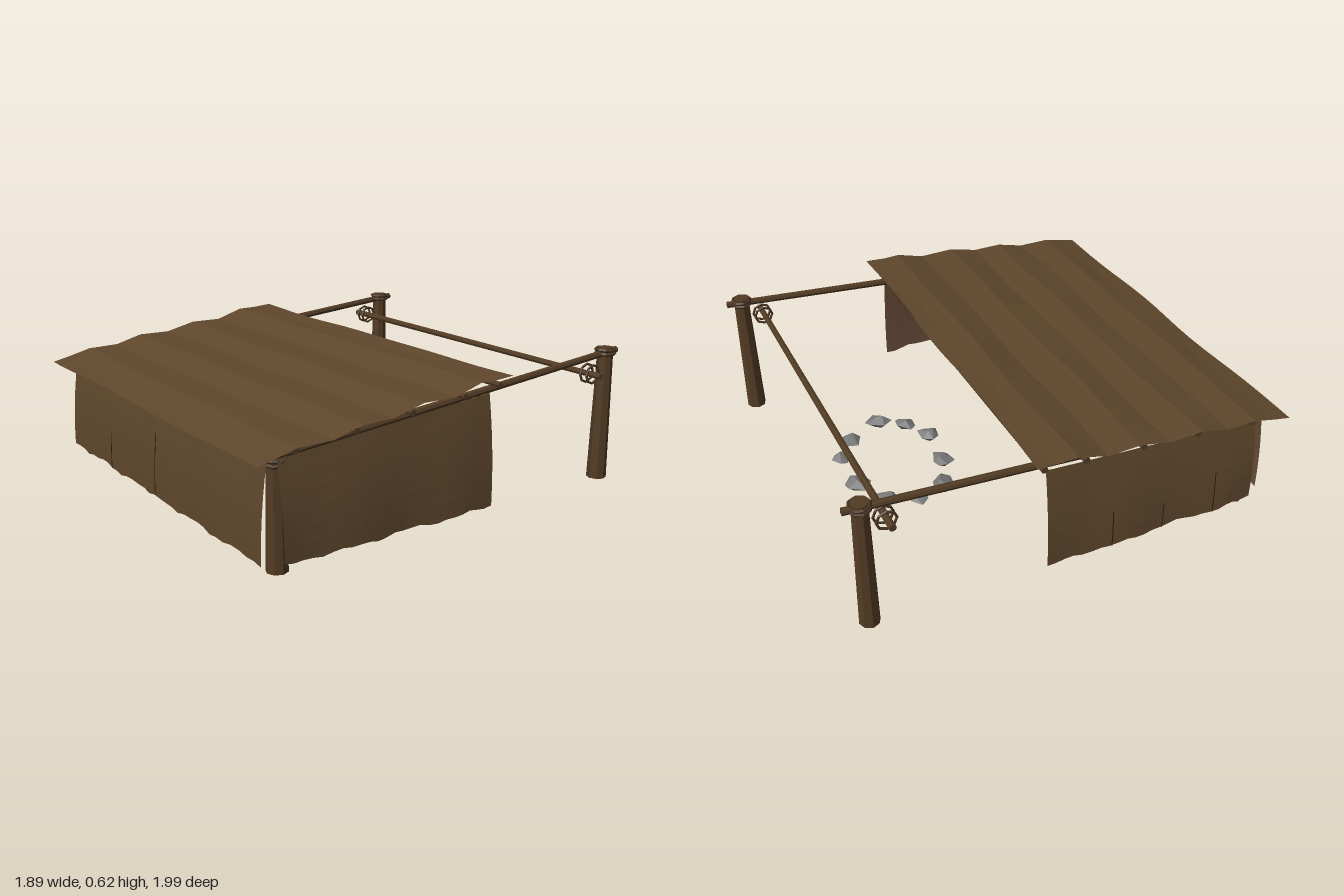
import * as THREE from 'three';
import { ConvexGeometry } from 'three/addons/geometries/ConvexGeometry.js';

const mat = (name, color) => {
  const m = new THREE.MeshStandardMaterial({ color });
  m.name = name;
  return m;
};

// small seeded generator
function seeded(seed) {
  let s = seed;
  return () => (s = (s * 16807) % 2147483647) / 2147483647;
}

// flat facets
function faceted(geo) {
  const g = geo.index ? geo.toNonIndexed() : geo;
  g.computeVertexNormals();
  return g;
}

// grid surface from point(u, v); front faces along dP/du x dP/dv
function gridGeometry(nu, nv, point, flip) {
  const pos = [], idx = [];
  for (let j = 0; j <= nv; j++)
    for (let i = 0; i <= nu; i++) pos.push(...point(i / nu, j / nv));
  for (let j = 0; j < nv; j++)
    for (let i = 0; i < nu; i++) {
      const a = j * (nu + 1) + i, b = a + 1, c = a + nu + 1, d = c + 1;
      if (flip) idx.push(a, d, b, a, c, d);
      else idx.push(a, b, d, a, d, c);
    }
  const g = new THREE.BufferGeometry();
  g.setAttribute('position', new THREE.Float32BufferAttribute(pos, 3));
  g.setIndex(idx);
  return faceted(g);
}

export function createModel() {
  const model = new THREE.Group();
  const wood = mat('dark wood', 0x523b24);
  const hide = mat('hide outside', 0x5f472c);
  const lining = mat('hide inside', 0x6b4f3a);
  const rope = mat('rope', 0x4a3522);
  const stone = mat('grey stone', 0x7b7b7b);
  const slitMat = mat('slit shadow', 0x2a1d12);

  const add = (name, geo, material, parent = model) => {
    const m = new THREE.Mesh(geo, material);
    m.name = name;
    parent.add(m);
    return m;
  };

  // straight tapered pole between two points
  const pole = (name, a, b, r0, r1, sides = 8) => {
    const p = new THREE.Vector3(...a), q = new THREE.Vector3(...b);
    const dir = q.clone().sub(p);
    const m = add(name, faceted(new THREE.CylinderGeometry(r1, r0, dir.length(), sides, 3)), wood);
    m.position.copy(p).add(q).multiplyScalar(0.5);
    m.quaternion.setFromUnitVectors(new THREE.Vector3(0, 1, 0), dir.normalize());
    return m;
  };

  // hide sheet: outer skin and inner skin, offset by a thin thickness
  const sheet = (name, nu, nv, point, offset, flip) => {
    const g = new THREE.Group();
    g.name = name;
    model.add(g);
    add(name + 'Outside', gridGeometry(nu, nv, point, flip), hide, g);
    const inner = (u, v) => point(u, v).map((c, k) => c + offset[k]);
    add(name + 'Inside', gridGeometry(nu, nv, inner, !flip), lining, g);
  };

  // lashing ring
  const ring = (name, r, tube, x, y, z, axis) => {
    const m = add(name, faceted(new THREE.TorusGeometry(r, tube, 5, 8)), rope);
    m.position.set(x, y, z);
    if (axis === 'y') m.rotation.x = Math.PI / 2;
    if (axis === 'x') m.rotation.y = Math.PI / 2;
  };

  // posts, rafters and lashings on both sides
  for (const s of [-1, 1]) {
    pole('frontPost', [s * 0.84, 0, 0.84], [s * 0.84, 0.445, 0.84], 0.045, 0.037);
    pole('backPost', [s * 0.835, 0, -0.93], [s * 0.835, 0.62, -0.93], 0.045, 0.035);
    pole('rafter', [s * 0.835, 0.445, 0.915], [s * 0.835, 0.6, -1], 0.018, 0.016);
    for (const dy of [0, 0.018]) {
      ring('frontLashing', 0.042, 0.008, s * 0.84, 0.425 + dy, 0.84, 'y');
      ring('backLashing', 0.042, 0.008, s * 0.835, 0.592 + dy, -0.93, 'y');
    }
    for (const dx of [-0.018, 0.018])
      ring('crossbarLashing', 0.042, 0.006, s * 0.835 + dx, 0.51, -0.835, 'x');
  }

  // back crossbar and roof purlins
  pole('backCrossbar', [-0.905, 0.51, -0.83], [0.905, 0.51, -0.83], 0.016, 0.014);
  const purlins = [[0.8, 0.488], [0.53, 0.512], [0.26, 0.535], [-0.01, 0.557], [-0.2, 0.574]];
  for (const [z, y] of purlins)
    pole('purlin', [-0.92, y, z], [0.92, y, z], 0.015, 0.013);

  // roof hide sagging between purlins: [z, y]
  const roof = [[0.987, 0.467], [0.9, 0.485], [0.81, 0.508], [0.66, 0.508], [0.52, 0.541],
    [0.37, 0.539], [0.23, 0.574], [0.07, 0.572], [-0.07, 0.611], [-0.15, 0.609], [-0.24, 0.614]];
  sheet('roof', 18, roof.length - 1, (u, v) => {
    const i = Math.round(v * (roof.length - 1)), x = -0.945 + 1.89 * u;
    return [x, roof[i][1] + 0.002 * Math.sin(x * 9 + i), roof[i][0] + 0.007 * Math.sin(x * 6 + i * 1.7)];
  }, [0, -0.007, 0], false);

  // hanging hides: v runs from the ragged hem (0) to the top (1)
  const hem = (t) => 0.055 + 0.005 * Math.sin(t * 21) + 0.004 * Math.sin(t * 47 + 1);
  const frontPoint = (u, v) => {
    const x = -0.88 + 1.755 * u, y = hem(x) + (0.46 - hem(x)) * v;
    return [x, y, 0.932 - 0.034 * v * v + 0.004 * (1 - v) * Math.sin(x * 14)];
  };
  sheet('frontHide', 32, 6, frontPoint, [0, 0, -0.006], false);

  const sidePoint = (s) => (u, v) => {
    const z = 0.86 - 1.035 * u, top = 0.455 + 0.082 * u;
    const y = hem(z + s) + (top - hem(z + s)) * v;
    return [s * (0.927 - 0.045 * v * v + 0.007 * (1 - v) * Math.sin(z * 13 + s)), y, z];
  };
  for (const s of [-1, 1])
    sheet(s > 0 ? 'leftHide' : 'rightHide', 24, 6, sidePoint(s), [-s * 0.006, 0, 0], s < 0);

  // narrow tears running up from the hems
  const slit = (point, u, height, alongX) => {
    for (let k = 0; k < 4; k++) {
      const a = new THREE.Vector3(...point(u, height * k / 4));
      const b = new THREE.Vector3(...point(u, height * (k + 1) / 4));
      const dir = b.clone().sub(a), len = dir.length();
      const m = add('tear', new THREE.BoxGeometry(alongX ? 0.004 : 0.009, len, alongX ? 0.009 : 0.004), slitMat);
      m.position.copy(a).add(b).multiplyScalar(0.5);
      if (alongX) m.position.z -= 0.003;
      else m.position.x -= Math.sign(a.x) * 0.003;
      m.quaternion.setFromUnitVectors(new THREE.Vector3(0, 1, 0), dir.normalize());
    }
  };
  slit(frontPoint, 0.507, 0.7, true);
  slit(frontPoint, 0.25, 0.41, true);
  for (const [u, h] of [[0.2, 0.5], [0.45, 0.3], [0.7, 0.4]]) slit(sidePoint(-1), u, h, false);

  // ring of angular hearth stones: [x, z]
  const stones = [[-0.1, -0.71], [0.1, -0.72], [0.22, -0.63], [0.31, -0.46], [0.235, -0.34],
    [0.1, -0.275], [-0.1, -0.285], [-0.26, -0.355], [-0.31, -0.5], [-0.25, -0.63]];
  const rnd = seeded(4127);
  const hearth = new THREE.Group();
  hearth.name = 'hearth';
  model.add(hearth);
  stones.forEach(([x, z], n) => {
    const pts = [];
    for (let k = 0; k < 6; k++) {
      const a = (k + rnd() * 0.6) * Math.PI / 3, r = 0.75 + 0.4 * rnd();
      pts.push(new THREE.Vector3(Math.cos(a) * r * 0.062, (rnd() - 0.5) * 0.025, Math.sin(a) * r * 0.05));
    }
    for (const dy of [-0.032, 0.034])
      for (let k = 0; k < 2; k++)
        pts.push(new THREE.Vector3((rnd() - 0.5) * 0.05, dy * (0.8 + 0.2 * rnd()), (rnd() - 0.5) * 0.04));
    const m = add('stone', new ConvexGeometry(pts), stone, hearth);
    m.position.set(x, 0.078, z);
    m.rotation.y = Math.atan2(x, z + 0.49) + (n % 3) * 0.4;
    m.scale.setScalar(0.88 + 0.2 * rnd());
  });

  return model;
}
